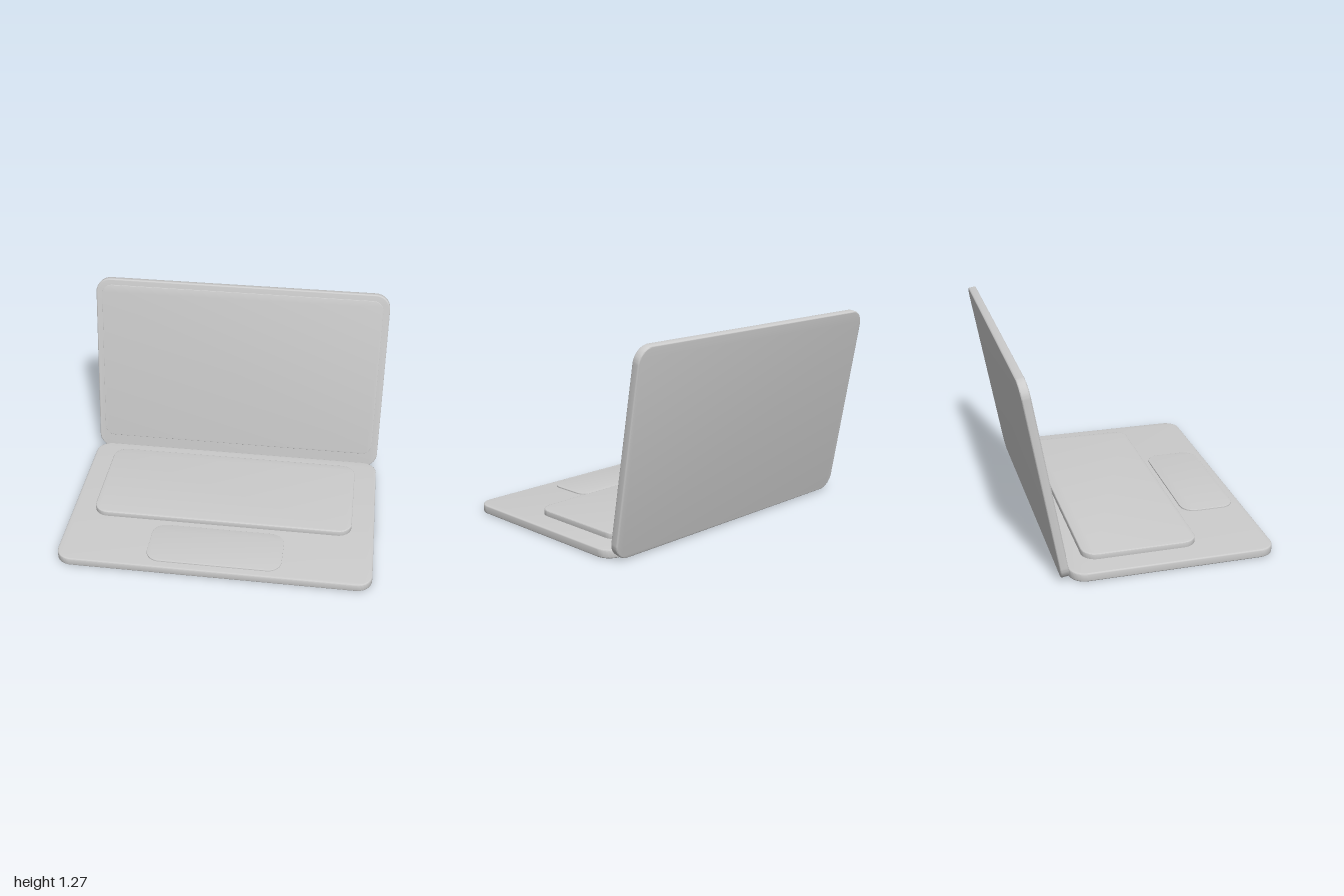
import * as THREE from 'three';
import { toCreasedNormals } from 'three/addons/utils/BufferGeometryUtils.js';

const material = new THREE.MeshStandardMaterial({ color: 0xcccccc });

// Rounded rectangle outline centred on the origin
function roundedRect(w, h, r) {
  const x = w / 2, y = h / 2;
  const s = new THREE.Shape();
  s.absarc(x - r, y - r, r, 0, Math.PI / 2);
  s.absarc(-x + r, y - r, r, Math.PI / 2, Math.PI);
  s.absarc(-x + r, -y + r, r, Math.PI, Math.PI * 1.5);
  s.absarc(x - r, -y + r, r, Math.PI * 1.5, Math.PI * 2);
  s.closePath();
  return s;
}

// Upright plate, back at z = 0 and front at z = t, with softened rims
function plate(name, w, h, r, t, bevel) {
  const shape = roundedRect(w - 2 * bevel, h - 2 * bevel, r - bevel);
  const geo = new THREE.ExtrudeGeometry(shape, {
    depth: t - 2 * bevel, bevelThickness: bevel, bevelSize: bevel,
    bevelSegments: 3, curveSegments: 10,
  });
  geo.translate(0, 0, bevel);
  const mesh = new THREE.Mesh(toCreasedNormals(geo, 0.7), material);
  mesh.name = name;
  return mesh;
}

// Same plate lying flat, spanning zBack..zFront and rising from y
function flatPlate(name, w, zBack, zFront, r, y, t, bevel) {
  const mesh = plate(name, w, zFront - zBack, r, t, bevel);
  mesh.rotation.x = -Math.PI / 2;
  mesh.position.set(0, y, (zBack + zFront) / 2);
  return mesh;
}

export function createModel() {
  const model = new THREE.Group();
  model.name = 'laptop';

  // Base with raised keyboard deck and touchpad
  model.add(
    flatPlate('base', 2, -0.5, 0.77, 0.1, 0, 0.053, 0.008),
    flatPlate('keyboardDeck', 1.706, -0.393, 0.322, 0.09, 0.04, 0.049, 0.006),
    flatPlate('touchpad', 0.86, 0.37, 0.72, 0.09, 0.045, 0.017, 0.002),
  );

  // Lid leaning back ten degrees, with the screen panel on its front
  const lid = new THREE.Group();
  lid.name = 'lid';
  const shell = plate('lidShell', 2, 1.27, 0.1, 0.051, 0.008);
  shell.position.z = -0.051;
  const screen = plate('screen', 1.914, 1.128, 0.07, 0.016, 0.002);
  screen.position.set(0, 0.031, -0.01);
  lid.add(shell, screen);
  lid.rotation.x = THREE.MathUtils.degToRad(-10);
  lid.position.set(0, 0.642, -0.611);
  model.add(lid);

  return model;
}
